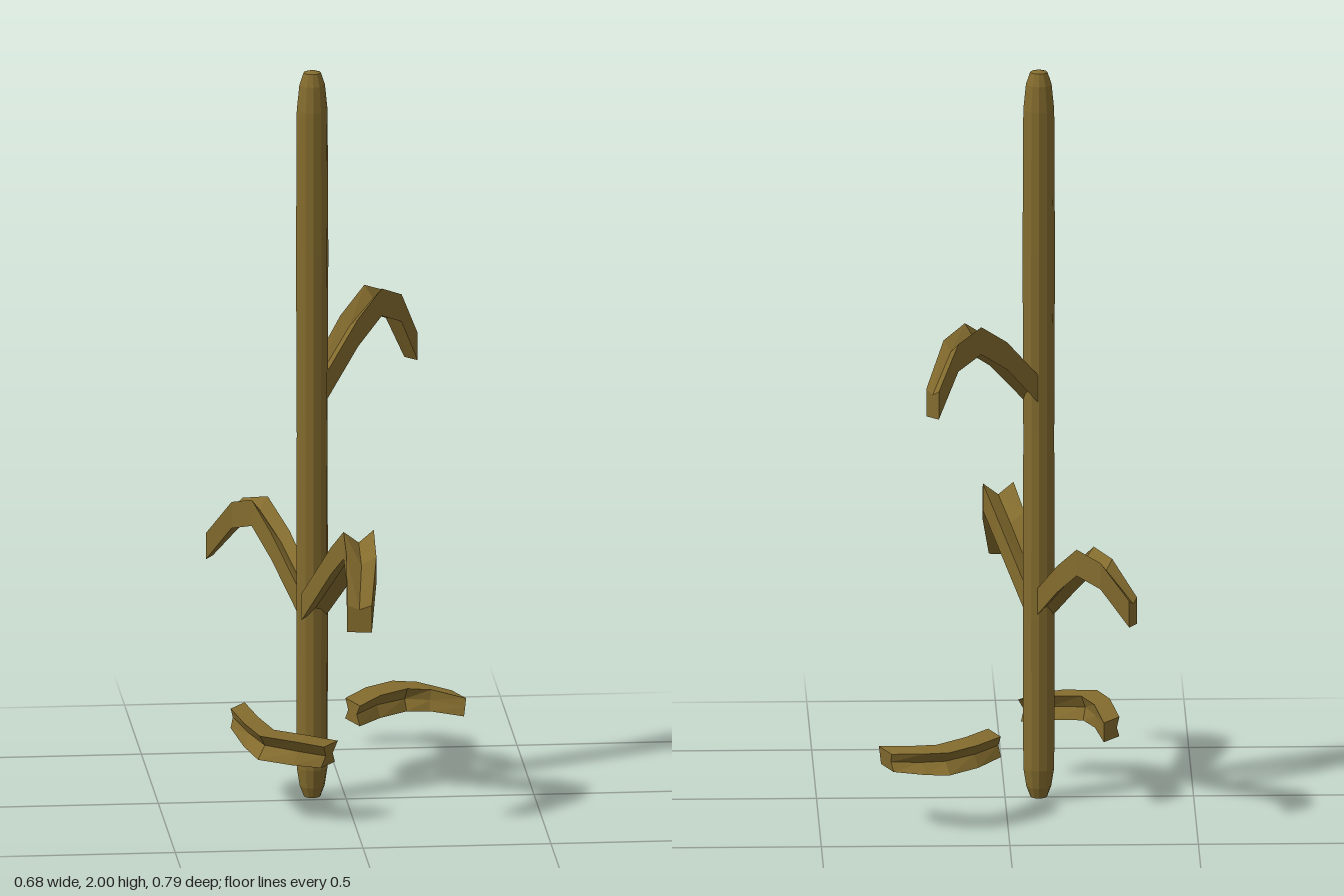
import * as THREE from 'three';

const stalkBrown = new THREE.MeshStandardMaterial({ color: 0x846c2e, flatShading: true });
stalkBrown.name = 'dry stalk brown';

// Leaf: five grooved cross-sections (concave top and underside) swept along a path
function leafGeometry({ path, up, width, height }) {
  const pts = path.map(p => new THREE.Vector3(...p));
  const U = new THREE.Vector3(...up).normalize();
  const widthScale = [0.9, 1, 1, 0.95, 0.8];
  const topGroove = [0.018, 0.025, 0.032, 0.025, 0.012];
  const underGroove = [0.02, 0.02, 0.015, 0.005, 0];
  const rings = pts.map((p, i) => {
    const T = pts[Math.min(i + 1, 4)].clone().sub(pts[Math.max(i - 1, 0)]);
    const S = new THREE.Vector3().crossVectors(U, T).normalize();
    const w = width * widthScale[i] / 2, h = height / 2;
    return [[-w, -h], [0, -h + underGroove[i]], [w, -h], [w, h], [0, h - topGroove[i]], [-w, h]]
      .map(([s, u]) => p.clone().addScaledVector(S, s).addScaledVector(U, u));
  });
  const out = [];
  const quad = (a, b, c, d) => [a, b, d, b, c, d].forEach(v => out.push(v.x, v.y, v.z));
  for (let i = 0; i < 4; i++) {
    for (let k = 0; k < 6; k++) {
      const n = (k + 1) % 6;
      quad(rings[i][k], rings[i][n], rings[i + 1][n], rings[i + 1][k]);
    }
  }
  // End caps, each as two halves
  const [a, b] = [rings[0], rings[4]];
  quad(a[5], a[4], a[1], a[0]);
  quad(a[4], a[3], a[2], a[1]);
  quad(b[0], b[1], b[4], b[5]);
  quad(b[1], b[2], b[3], b[4]);
  const geo = new THREE.BufferGeometry();
  geo.setAttribute('position', new THREE.Float32BufferAttribute(out, 3));
  geo.computeVertexNormals();
  return geo;
}

const leaves = {
  upperLeaf: {
    path: [[-0.07, 1.13, -0.035], [0.02, 1.25, -0.13], [0.09, 1.312, -0.205], [0.15, 1.28, -0.26], [0.2, 1.16, -0.305]],
    up: [0, 1, 0], width: 0.06, height: 0.075,
  },
  backLeaf: {
    path: [[-0.105, 0.545, -0.04], [-0.158, 0.65, -0.19], [-0.205, 0.72, -0.28], [-0.26, 0.7, -0.34], [-0.33, 0.605, -0.38]],
    up: [0, 1, 0], width: 0.055, height: 0.072,
  },
  frontLeaf: {
    path: [[-0.088, 0.54, 0.015], [-0.018, 0.7, 0.15], [0.012, 0.763, 0.237], [0.012, 0.715, 0.32], [0, 0.6, 0.39]],
    up: [0, 1, 0], width: 0.083, height: 0.074,
  },
  fallenRightLeaf: {
    path: [[-0.065, 0.185, 0.226], [-0.14, 0.195, 0.216], [-0.23, 0.203, 0.18], [-0.26, 0.21, 0.07], [-0.28, 0.21, -0.1]],
    up: [-0.57, 0, 0.82], width: 0.066, height: 0.075,
  },
  fallenLeftLeaf: {
    path: [[0.032, 0.193, -0.165], [0.095, 0.192, -0.26], [0.172, 0.19, -0.328], [0.235, 0.188, -0.324], [0.322, 0.18, -0.277]],
    up: [-0.35, 0, -0.94], width: 0.062, height: 0.09,
  },
};

export function createModel() {
  const model = new THREE.Group();
  model.name = 'driedStalk';

  // Main stalk with rounded ends
  const profile = [
    [0, 0], [0.022, 0.006], [0.033, 0.035], [0.041, 0.085], [0.042, 0.5], [0.041, 1], [0.043, 1.5],
    [0.041, 1.89], [0.034, 1.96], [0.023, 1.993], [0, 2],
  ].map(p => new THREE.Vector2(...p));
  const stalk = new THREE.Mesh(new THREE.LatheGeometry(profile, 12), stalkBrown);
  stalk.name = 'stalk';
  stalk.position.set(-0.089, 0, -0.017);
  model.add(stalk);

  for (const [name, spec] of Object.entries(leaves)) {
    const leaf = new THREE.Mesh(leafGeometry(spec), stalkBrown);
    leaf.name = name;
    model.add(leaf);
  }
  return model;
}
